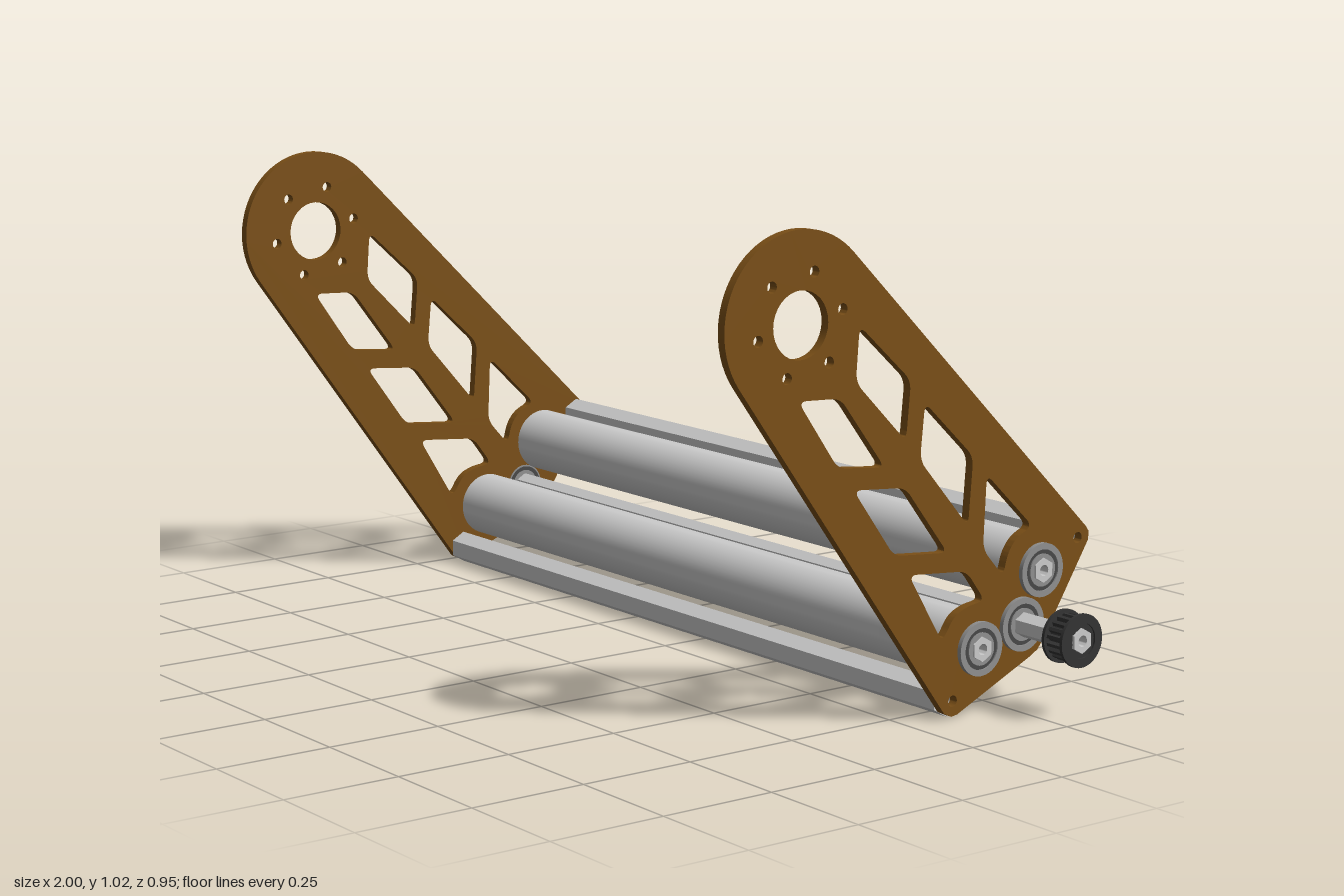
import * as THREE from 'three';
import { toCreasedNormals } from 'three/addons/utils/BufferGeometryUtils.js';

const mat = (color) => new THREE.MeshStandardMaterial({ color });
const grey = mat(0xcccccc), brown = mat(0x7a4f17), black = mat(0x333333);
const steel = mat(0x909090), seal = mat(0x484848);

const X0 = -0.98, X1 = 0.818, T = 0.02;   // outer plate faces, plate thickness
const ROLLERS = [[-0.338, 0.273], [-0.175, 0.133]];   // axes as [z, y]
const DRIVE = [-0.288, 0.167];
const RODS = [[-0.443, 0.325], [-0.108, 0.034]];
const AXES = [...ROLLERS, DRIVE];

// Extrude a shape drawn in (z, y) along x
function prism(name, shape, x0, x1, material, [z, y] = [0, 0], curveSegments = 16) {
  const g = new THREE.ExtrudeGeometry(shape, { depth: x1 - x0, bevelEnabled: false, curveSegments });
  const m = new THREE.Mesh(toCreasedNormals(g, 0.5), material);
  m.name = name;
  m.rotation.y = -Math.PI / 2;
  m.position.set(x1, y, z);
  return m;
}

// Ring with rectangular section turned around an x axis
function ring(name, rIn, rOut, x0, x1, material, [z, y]) {
  const pts = [[rIn, x0], [rOut, x0], [rOut, x1], [rIn, x1], [rIn, x0]].map((p) => new THREE.Vector2(...p));
  const m = new THREE.Mesh(toCreasedNormals(new THREE.LatheGeometry(pts, 48), 0.6), material);
  m.name = name;
  m.rotation.z = -Math.PI / 2;
  m.position.set(0, y, z);
  return m;
}

const circle = (z, y, r) => new THREE.Path().absarc(z, y, r, 0, Math.PI * 2, false);

// Closed path with rounded corners
function roundedPath(corners, r) {
  const path = new THREE.Path();
  const v = corners.map((c) => new THREE.Vector2(...c));
  v.forEach((p, i) => {
    const toward = (q) => {
      const d = q.clone().sub(p);
      return p.clone().addScaledVector(d, Math.min(r / d.length(), 0.45));
    };
    const a = toward(v[(i + v.length - 1) % v.length]), b = toward(v[(i + 1) % v.length]);
    if (i) path.lineTo(a.x, a.y); else path.moveTo(a.x, a.y);
    path.quadraticCurveTo(p.x, p.y, b.x, b.y);
  });
  path.closePath();
  return path;
}

function hexTube(r, bore) {
  const s = new THREE.Shape();
  for (let i = 0; i < 6; i++) {
    const a = Math.PI / 2 + i * Math.PI / 3;
    s[i ? 'lineTo' : 'moveTo'](r * Math.cos(a), r * Math.sin(a));
  }
  s.closePath();
  s.holes.push(circle(0, 0, bore));
  return s;
}

function plateShape() {
  const s = new THREE.Shape();
  const [cz, cy] = [0.29, 0.832], deg = Math.PI / 180;
  s.absarc(cz, cy, 0.183, -36 * deg, 135 * deg, false);
  [[-0.466, 0.346], [-0.473, 0.336], [-0.473, 0.318], [-0.352, 0.125], [-0.337, 0.106], [-0.318, 0.095],
    [-0.12, 0.004], [-0.105, 0.002], [-0.086, 0.011]].forEach((p) => s.lineTo(...p));
  s.closePath();
  // pivot hole with its bolt circle
  s.holes.push(circle(cz, cy, 0.067));
  for (let i = 0; i < 6; i++) {
    const a = (48 + 60 * i) * deg;
    s.holes.push(circle(cz + 0.105 * Math.cos(a), cy + 0.105 * Math.sin(a), 0.0115));
  }
  // bearing and rod holes
  AXES.forEach(([z, y]) => s.holes.push(circle(z, y, 0.045)));
  RODS.forEach(([z, y]) => s.holes.push(circle(z, y, 0.0115)));
  // lightening windows
  [
    [[0.145, 0.818], [0.013, 0.698], [0.024, 0.579], [0.153, 0.708]],
    [[0.295, 0.686], [0.191, 0.681], [0.078, 0.533], [0.196, 0.545]],
    [[-0.024, 0.650], [-0.153, 0.528], [-0.142, 0.388], [-0.013, 0.536]],
    [[0.156, 0.497], [0.024, 0.486], [-0.088, 0.341], [0.051, 0.353]],
    [[-0.19, 0.487], [-0.316, 0.366], [-0.274, 0.348], [-0.25, 0.318], [-0.239, 0.272], [-0.183, 0.335]],
    [[0.012, 0.309], [-0.14, 0.296], [-0.19, 0.229], [-0.145, 0.224], [-0.108, 0.208], [-0.078, 0.16]],
  ].forEach((w) => s.holes.push(roundedPath(w, 0.022)));
  return s;
}

// Flanged bearing: side is +1 or -1, x is the outer plate face
function bearing(axis, x, side) {
  const g = new THREE.Group();
  g.name = 'bearing';
  const part = (name, a, b, out, m) => {
    const e = [x - side * (T + 0.002), x + side * out].sort((p, q) => p - q);
    g.add(ring(name, a, b, e[0], e[1], m, axis));
  };
  part('bearingOuterRace', 0.043, 0.0465, 0.01, steel);
  part('bearingSeal', 0.034, 0.043, 0.007, seal);
  part('bearingInnerRace', 0.021, 0.034, 0.01, steel);
  const f = [x, x + side * 0.01].sort((p, q) => p - q);
  g.add(ring('bearingFlange', 0.043, 0.056, f[0], f[1], steel, axis));
  return g;
}

// Toothed belt pulley with two flanges
function pulley(axis) {
  const g = new THREE.Group();
  g.name = 'pulley';
  const s = new THREE.Shape(), n = 18;
  for (let i = 0; i < n; i++) {
    [[0, 0.04], [0.2, 0.048], [0.6, 0.048], [0.8, 0.04]].forEach(([f, r], k) => {
      const a = (i + f) / n * Math.PI * 2;
      s[i || k ? 'lineTo' : 'moveTo'](r * Math.cos(a), r * Math.sin(a));
    });
  }
  s.closePath();
  s.holes.push(circle(0, 0, 0.023));
  g.add(prism('pulleyTeeth', s, 0.946, 0.994, black, axis));
  g.add(ring('pulleyFlange', 0.024, 0.055, 0.94, 0.947, black, axis));
  g.add(ring('pulleyFlange', 0.036, 0.055, 0.991, 0.998, black, axis));
  return g;
}

export function createModel() {
  const model = new THREE.Group();
  model.name = 'rollerArm';

  // side plates with bearings
  const plate = plateShape();
  model.add(prism('rightPlate', plate, X0, X0 + T, brown));
  model.add(prism('leftPlate', plate, X1 - T, X1, brown));
  AXES.forEach((a) => model.add(bearing(a, X0, -1), bearing(a, X1, 1)));

  // rollers on hollow hex shafts
  const shaft = hexTube(0.026, 0.0115);
  ROLLERS.forEach((a) => {
    model.add(ring('roller', 0.021, 0.072, X0 + T + 0.006, X1 - T - 0.006, grey, a));
    model.add(prism('rollerShaft', shaft, -1, X1 + 0.014, grey, a));
  });

  // drive shaft and pulley
  model.add(prism('driveShaft', shaft, -1, 1, grey, DRIVE));
  model.add(pulley(DRIVE));

  // hex spacer rods between the plates
  const rod = hexTube(0.036, 0.0115);
  RODS.forEach((a) => model.add(prism('spacerRod', rod, X0 + T, X1 - T, grey, a)));

  return model;
}
